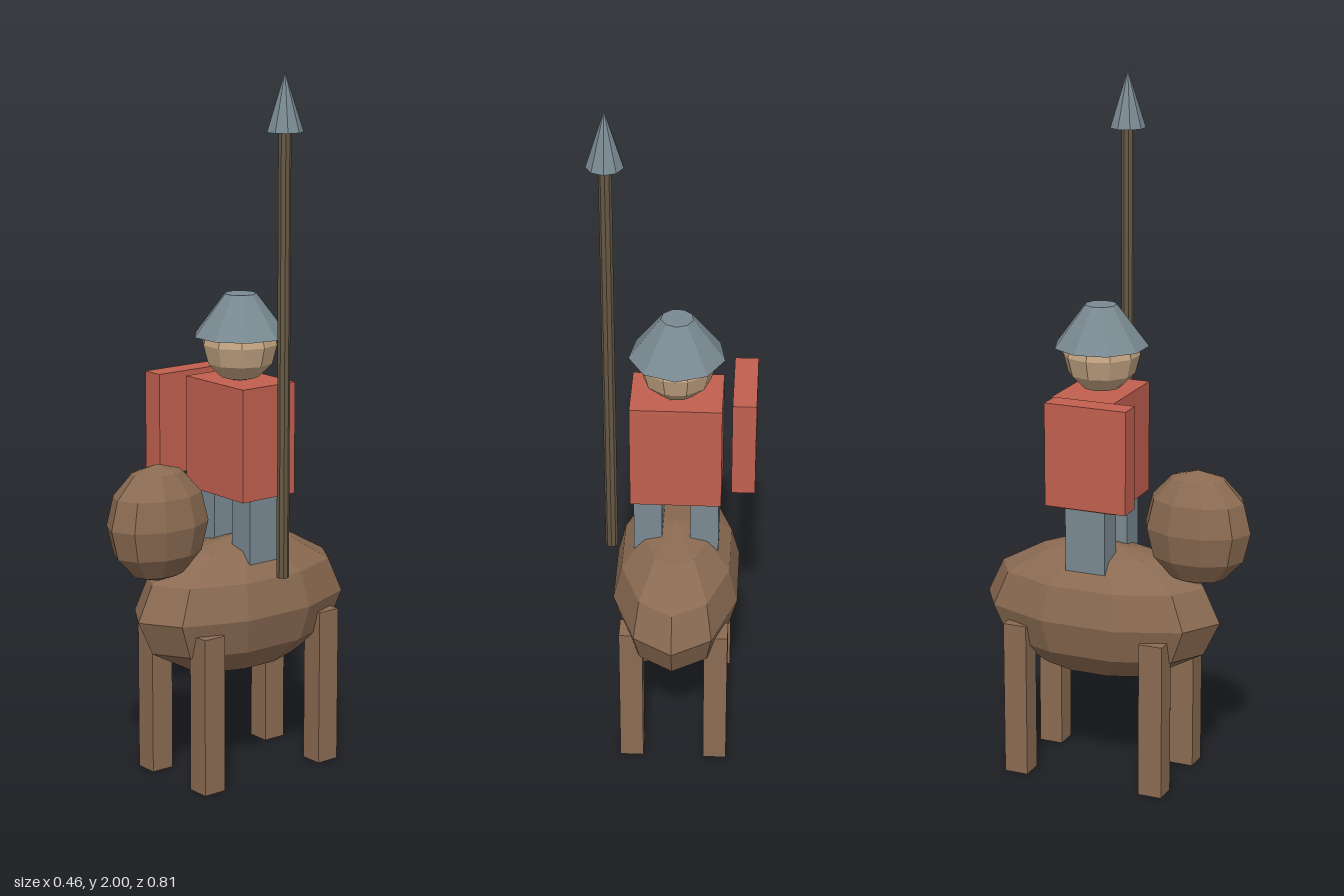
import * as THREE from 'three';

const CX = -0.01, CZ = -0.047; // axis shared by mount and rider

export function createModel() {
  const model = new THREE.Group();
  model.name = 'mountedSpearman';

  const paint = (color) => new THREE.MeshStandardMaterial({ color, flatShading: true });
  const hide = paint(0x8b6b52);
  const steel = paint(0x7a8a92);
  const cloth = paint(0xc1604f);
  const skin = paint(0xc4a583);
  const wood = paint(0x665844);

  const add = (name, geometry, material, x, y, z) => {
    const mesh = new THREE.Mesh(geometry, material);
    mesh.name = name;
    mesh.position.set(x, y, z);
    model.add(mesh);
    return mesh;
  };
  const box = (name, material, w, h, d, x, y, z) =>
    add(name, new THREE.BoxGeometry(w, h, d), material, x, y, z);
  // faceted ellipsoid with a vertex pointing along z
  const blob = (name, material, rx, ry, rz, x, y, z) =>
    add(name, new THREE.SphereGeometry(1, 10, 6).rotateY(Math.PI / 2).scale(rx, ry, rz), material, x, y, z);
  // nine-sided cylinder or cone with a corner at the back
  const turned = (name, material, top, bottom, y0, y1, x, z) =>
    add(name, new THREE.CylinderGeometry(top, bottom, y1 - y0, 9).rotateY(Math.PI), material, x, (y0 + y1) / 2, z);

  // mount
  blob('mountBody', hide, 0.187, 0.2, 0.36, CX, 0.49, -0.045);
  blob('mountHead', hide, 0.111, 0.167, 0.157, CX, 0.767, 0.246);
  for (const side of [-1, 1]) {
    const name = side > 0 ? 'left' : 'right';
    const x = CX + side * 0.121;
    box(name + 'FrontLeg', hide, 0.067, 0.455, 0.07, x, 0.2275, 0.167);
    box(name + 'BackLeg', hide, 0.067, 0.455, 0.07, x, 0.2275, -0.25);
    // rider's legs straddling the saddle
    box(name + 'RiderLeg', steel, 0.08, 0.2, 0.12, CX + side * 0.08, 0.73, -0.045);
  }

  // rider
  box('torso', cloth, 0.255, 0.32, 0.186, CX, 0.975, CZ);
  add('riderHead', new THREE.SphereGeometry(0.108, 10, 6), skin, CX, 1.237, -0.045);
  turned('helmet', steel, 0.045, 0.134, 1.26, 1.378, CX, CZ);

  // shield on the right, spear on the left
  box('shield', cloth, 0.066, 0.293, 0.24, -0.198, 0.997, 0);
  turned('spearShaft', wood, 0.018, 0.018, 0.6, 1.85, 0.178, CZ);
  turned('spearTip', steel, 0, 0.051, 1.84, 2, 0.178, CZ);

  return model;
}
